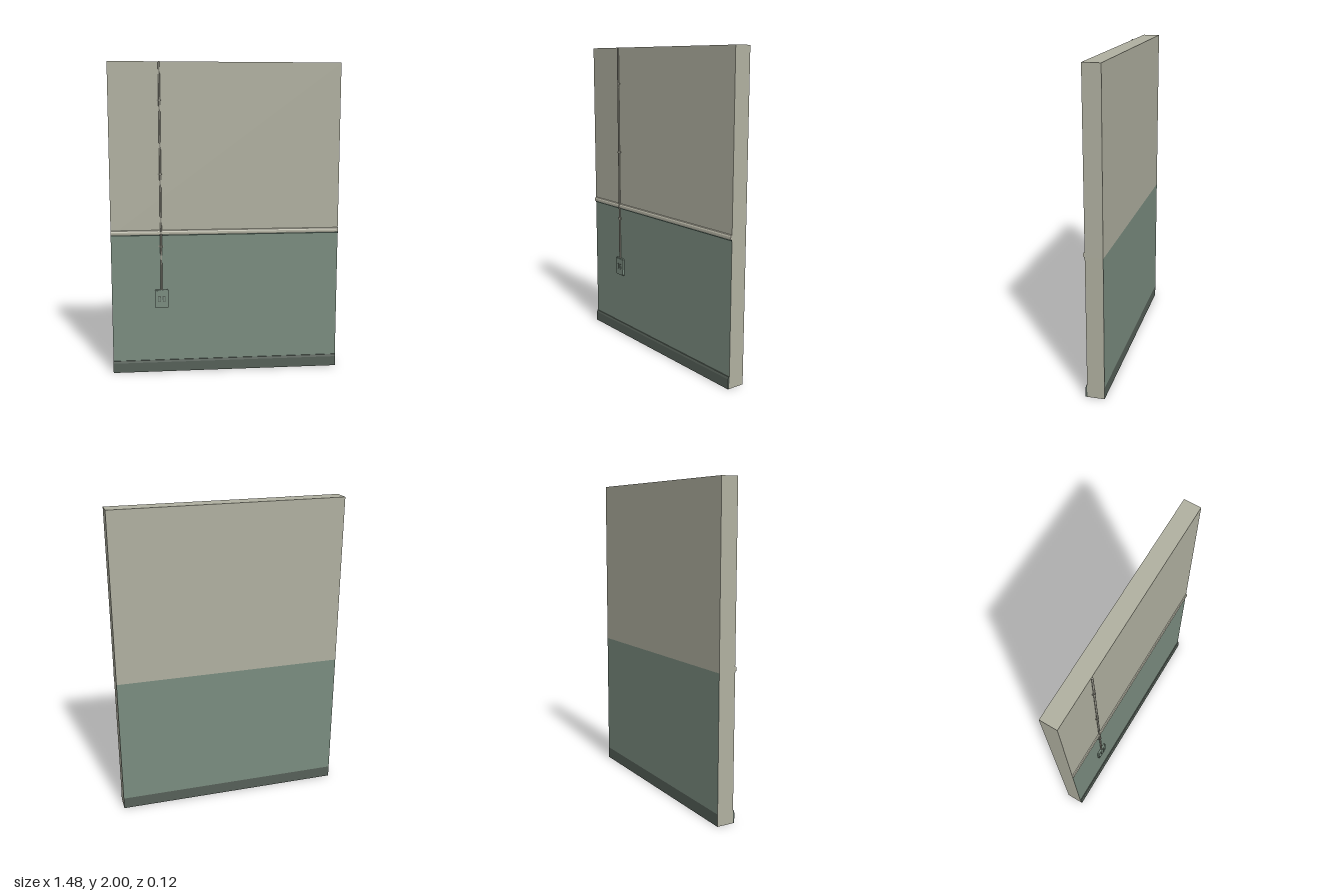
import * as THREE from 'three';

const mat = (name, color, extra = {}) => {
  const m = new THREE.MeshStandardMaterial({ color, ...extra });
  m.name = name;
  return m;
};

export function createModel() {
  const group = new THREE.Group();
  group.name = 'wallPanel';

  const cream = mat('creamPaint', 0xb0b0a0);
  const green = mat('greenPaint', 0x7a8c7f);
  const dark = mat('skirtingPaint', 0x566058);
  const trim = mat('railPaint', 0xbab8a8);
  const metal = mat('conduitGrey', 0x97968a);
  const line = mat('darkGreenLine', 0x35423b);

  const W = 1.477, BACK = -0.062, FRONT = 0.046;

  const add = (name, geo, material, x = 0, y = 0, z = 0) => {
    const m = new THREE.Mesh(geo, material);
    m.name = name;
    m.position.set(x, y, z);
    group.add(m);
    return m;
  };
  const box = (name, w, h, d, material, x, y, z) =>
    add(name, new THREE.BoxGeometry(w, h, d), material, x, y, z);

  // Wall in three bands, painted front and back, with plain cream ends
  const band = (name, y0, y1, paint, under) =>
    box(name, W, y1 - y0, FRONT - BACK, [cream, cream, cream, under, paint, paint],
      0, (y0 + y1) / 2, (FRONT + BACK) / 2);
  band('wallBase', 0, 0.075, dark, dark);
  band('wallLower', 0.075, 0.91, green, green);
  band('wallUpper', 0.91, 2, cream, cream);

  // Mouldings: (depth, height) profiles swept across the width
  const moulding = (name, profile, material) => {
    const shape = new THREE.Shape(profile.map(([d, y]) => new THREE.Vector2(-d, y)));
    const geo = new THREE.ExtrudeGeometry(shape, { depth: W, bevelEnabled: false });
    geo.rotateY(Math.PI / 2); // shape -x becomes +z, depth becomes +x
    add(name, geo, material, -W / 2, 0, FRONT);
  };
  moulding('skirtingBoard', [[0, 0], [0.01, 0], [0.01, 0.063], [0.006, 0.077], [0, 0.077]], dark);
  moulding('dadoRail', [[0, 0.912], [0.007, 0.912], [0.01, 0.918], [0.01, 0.929], [0.006, 0.938], [0, 0.941]], trim);
  box('railShadowStrip', W, 0.008, 0.004, line, 0, 0.908, FRONT + 0.002);

  // Surface conduit with its clips
  const CX = -0.419;
  const pipe = new THREE.CylinderGeometry(0.006, 0.006, 1.45, 12);
  add('conduit', pipe, metal, CX, 1.275, FRONT + 0.006);
  for (const y of [1.762, 1.3, 0.836]) {
    box('clipFoot', 0.03, 0.011, 0.004, metal, CX, y, FRONT + 0.002);
    const strap = new THREE.CylinderGeometry(0.008, 0.008, 0.011, 12);
    add('clipStrap', strap, metal, CX, y, FRONT + 0.007);
  }

  // Outlet box with a raised cover and two switch slots
  const plate = (w, h, r) => {
    const s = new THREE.Shape();
    const x = w / 2, y = h / 2;
    s.moveTo(-x + r, -y).lineTo(x - r, -y).lineTo(x, -y + r).lineTo(x, y - r);
    s.lineTo(x - r, y).lineTo(-x + r, y).lineTo(-x, y - r).lineTo(-x, -y + r);
    return s;
  };
  const cover = (name, w, h, z0, z1) => add(name,
    new THREE.ExtrudeGeometry(plate(w, h, 0.006), { depth: z1 - z0, bevelEnabled: false }),
    green, CX, 0.49, z0);
  cover('outletBox', 0.088, 0.122, FRONT, 0.057);
  cover('outletCover', 0.078, 0.112, 0.057, 0.06);
  for (const side of [-1, 1]) {
    box('switchFrame', 0.018, 0.04, 0.001, dark, CX + side * 0.015, 0.49, 0.0605);
    box('switchRocker', 0.01, 0.03, 0.001, green, CX + side * 0.015, 0.49, 0.0615);
  }

  return group;
}
